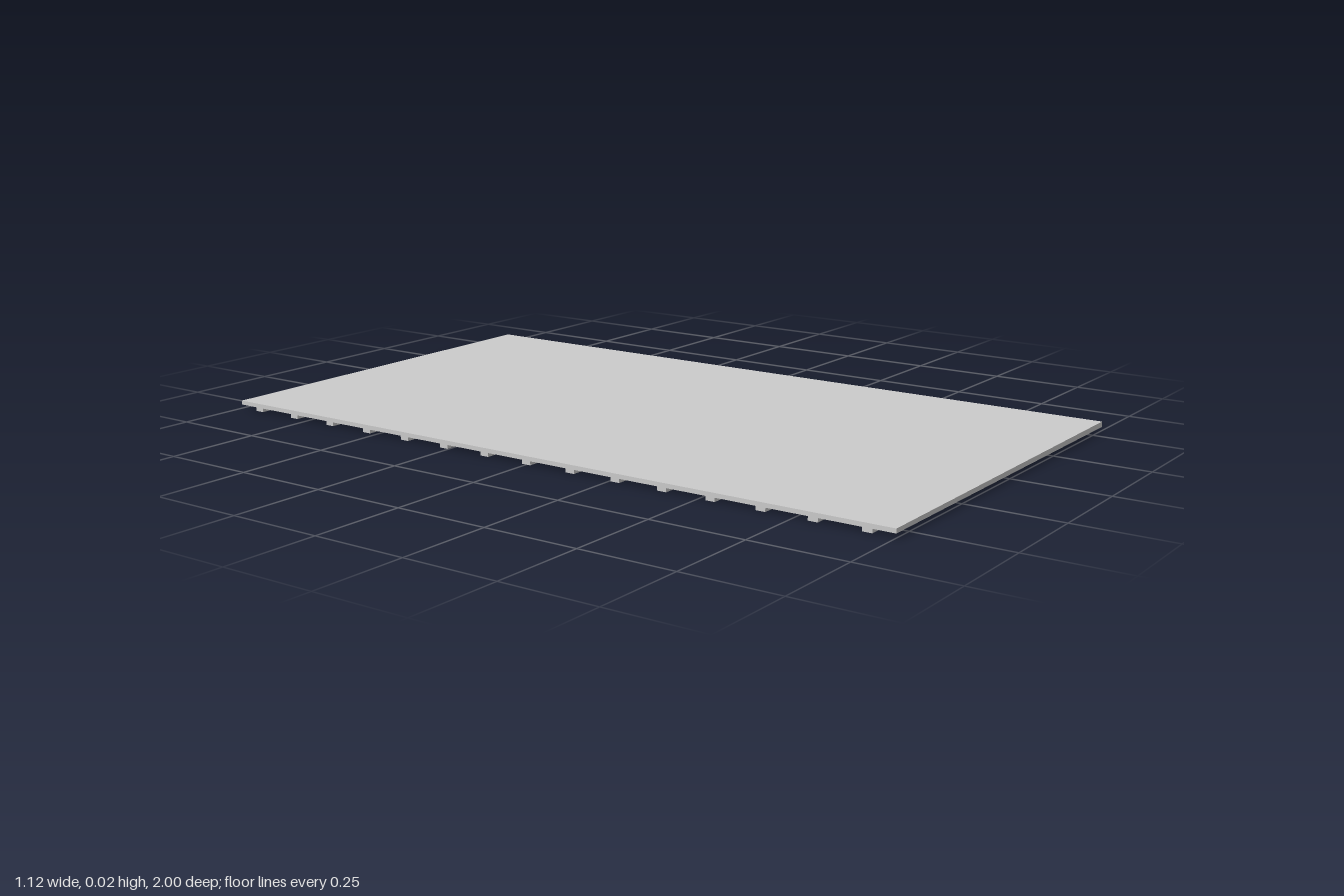
import * as THREE from 'three';

const HALF_WIDTH = 0.558;
const UNDERSIDE = 0.01;

export function createModel() {
  const group = new THREE.Group();
  const material = new THREE.MeshStandardMaterial({ color: 0xcccccc, flatShading: true });

  // Thin panel, slightly thicker towards its left (+x) edge
  const profile = new THREE.Shape([
    new THREE.Vector2(-HALF_WIDTH, UNDERSIDE),
    new THREE.Vector2(HALF_WIDTH, UNDERSIDE),
    new THREE.Vector2(HALF_WIDTH, 0.0245),
    new THREE.Vector2(-HALF_WIDTH, 0.021),
  ]);
  const panelGeometry = new THREE.ExtrudeGeometry(profile, { depth: 2, bevelEnabled: false });
  panelGeometry.translate(0, 0, -1);
  const panel = new THREE.Mesh(panelGeometry, material);
  panel.name = 'panel';
  group.add(panel);

  // Evenly spaced battens running across the underside
  const battens = new THREE.Group();
  battens.name = 'battens';
  const battenGeometry = new THREE.BoxGeometry(2 * HALF_WIDTH, UNDERSIDE, 0.025);
  const count = 15;
  for (let i = 0; i < count; i++) {
    const batten = new THREE.Mesh(battenGeometry, material);
    batten.name = 'batten';
    batten.position.set(0, UNDERSIDE / 2, (i - (count - 1) / 2) * 0.133);
    battens.add(batten);
  }
  group.add(battens);

  return group;
}
